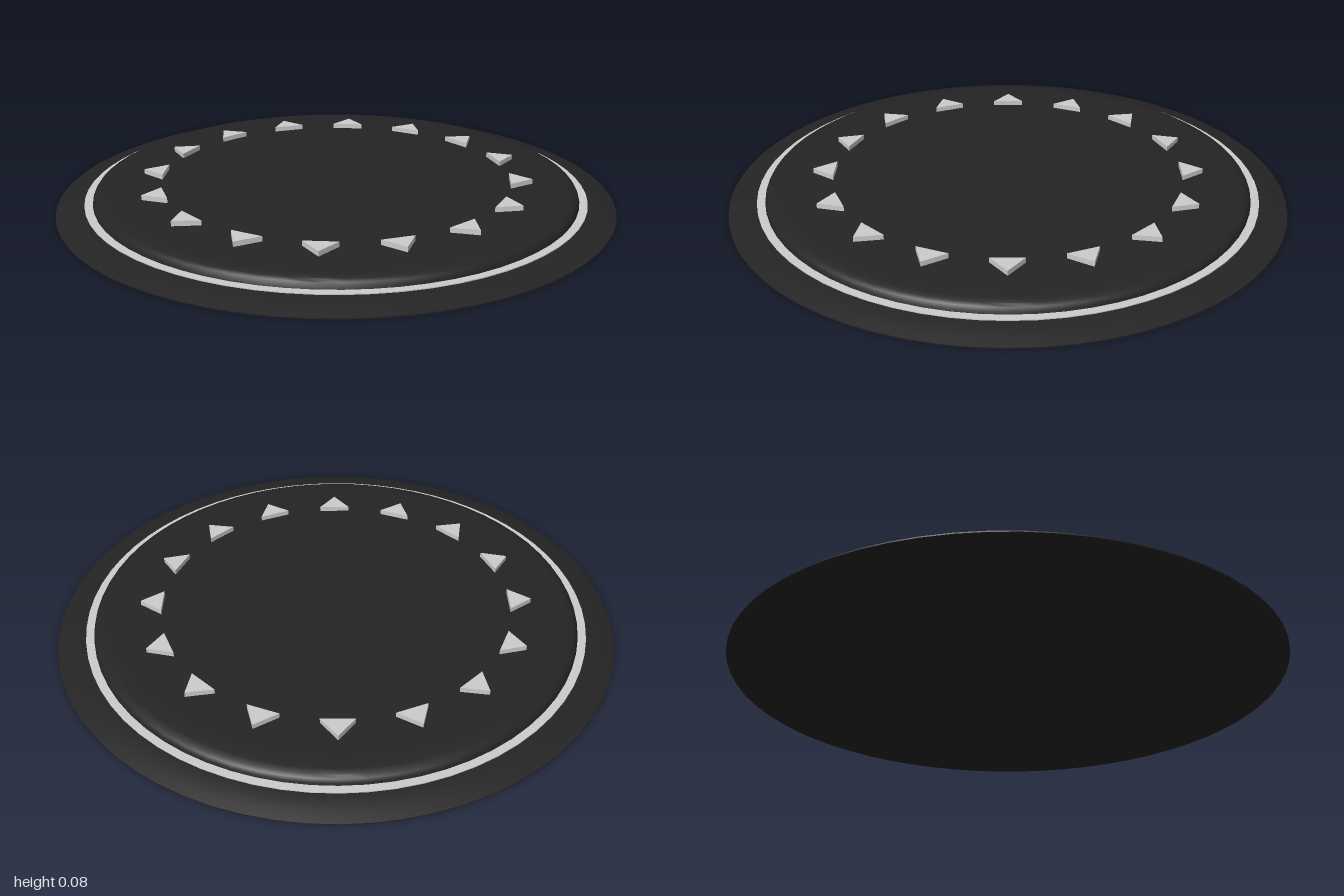
import * as THREE from 'three';
import { toCreasedNormals } from 'three/addons/utils/BufferGeometryUtils.js';

const SEGMENTS = 64;
const dark = new THREE.MeshStandardMaterial({ color: 0x242424 });
const grey = new THREE.MeshStandardMaterial({ color: 0xcccccc });

function part(name, geometry, material) {
  const mesh = new THREE.Mesh(geometry, material);
  mesh.name = name;
  return mesh;
}

// Revolves a list of [radius, height] points, keeping hard edges sharp
function turned(points) {
  const profile = points.map(([r, y]) => new THREE.Vector2(r, y));
  return toCreasedNormals(new THREE.LatheGeometry(profile, SEGMENTS), 0.6);
}

export function createModel() {
  const model = new THREE.Group();
  model.name = 'disc';

  // Sloping outer flange with a closed underside
  model.add(part('flange', turned([
    [0, 0], [1, 0], [1, 0.004], [0.97, 0.013], [0.94, 0.021], [0.9, 0.028], [0.85, 0.028],
  ]), dark));

  // Raised plate with a rounded rim
  model.add(part('plate', turned([
    [0.872, 0.026], [0.869, 0.04], [0.862, 0.051], [0.85, 0.058],
    [0.83, 0.062], [0.79, 0.064], [0, 0.064],
  ]), dark));

  // Light ring lying in the step around the plate
  model.add(part('trimRing', turned([
    [0.9, 0.026], [0.9, 0.031], [0.868, 0.031],
  ]), grey));

  // Raised triangular markers pointing outward
  const triangle = new THREE.Shape([
    new THREE.Vector2(-0.058, 0.628),
    new THREE.Vector2(0.058, 0.628),
    new THREE.Vector2(0, 0.708),
  ]);
  const markerGeometry = new THREE.ExtrudeGeometry(triangle, { depth: 0.022, bevelEnabled: false });
  markerGeometry.rotateX(-Math.PI / 2).translate(0, 0.06, 0);

  const markers = new THREE.Group();
  markers.name = 'markers';
  for (let i = 0; i < 16; i++) {
    const marker = part('marker', markerGeometry, grey);
    marker.rotation.y = (i * Math.PI) / 8;
    markers.add(marker);
  }
  model.add(markers);
  return model;
}
